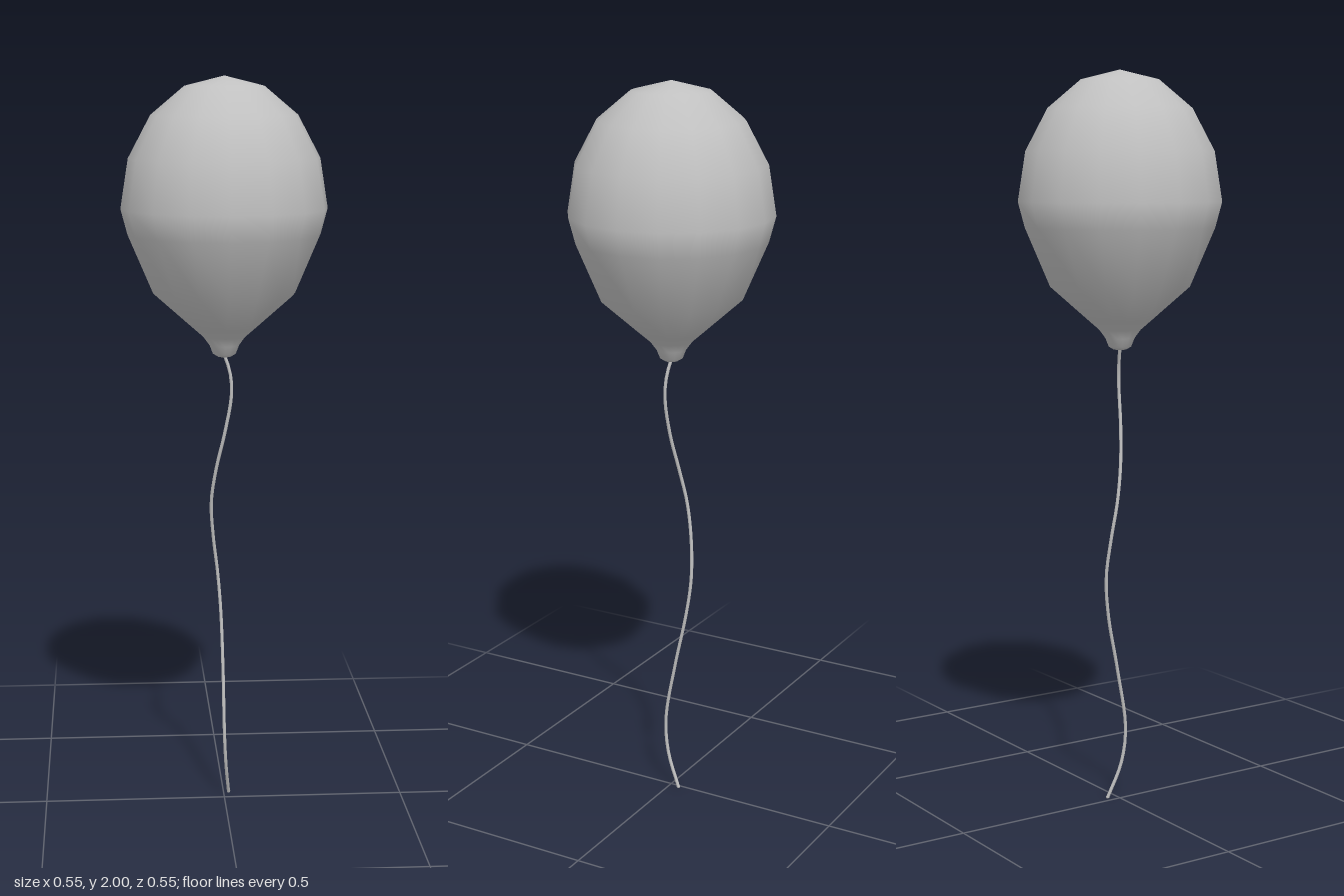
import * as THREE from 'three';

const v2 = (p) => new THREE.Vector2(p[0], p[1]);
const v3 = (p) => new THREE.Vector3(p[0], p[1], p[2]);

export function createModel() {
  const model = new THREE.Group();
  model.name = 'balloon';
  const grey = new THREE.MeshStandardMaterial({ color: 0xc0c0c0 });
  grey.name = 'plain grey';

  // Balloon skin: tapered neck below, half an ellipsoid above
  const profile = [
    [0, 1.257], [0.018, 1.259], [0.031, 1.267], [0.04, 1.29], [0.057, 1.313],
    [0.088, 1.34], [0.19, 1.43], [0.257, 1.587],
  ];
  for (let i = 4; i >= 0; i--) {
    const a = (i * Math.PI) / 8;
    profile.push([i ? 0.275 * Math.sin(a) : 0, 1.655 + 0.345 * Math.cos(a)]);
  }
  const skin = new THREE.Mesh(new THREE.LatheGeometry(profile.map(v2), 16), grey);
  skin.name = 'balloonSkin';
  model.add(skin);

  // Wavy string hanging from the neck
  const path = new THREE.CatmullRomCurve3([
    [0, 1.262, 0], [0.014, 1.22, 0.006], [0.019, 1.16, 0.009], [0.001, 1.05, 0.003],
    [-0.021, 0.95, -0.012], [-0.034, 0.85, -0.031], [-0.028, 0.75, -0.047],
    [-0.015, 0.64, -0.055], [-0.007, 0.53, -0.043], [-0.003, 0.37, -0.01],
    [-0.001, 0.2, 0.018], [0.004, 0.1, 0.007], [0.014, 0.003, -0.032],
  ].map(v3));
  const string = new THREE.Mesh(new THREE.TubeGeometry(path, 48, 0.005, 6), grey);
  string.name = 'string';
  model.add(string);

  // Closed lower end of the string
  const tip = new THREE.Mesh(new THREE.SphereGeometry(0.005, 6, 4), grey);
  tip.name = 'stringEnd';
  tip.position.set(0.014, 0.005, -0.032);
  model.add(tip);

  return model;
}
